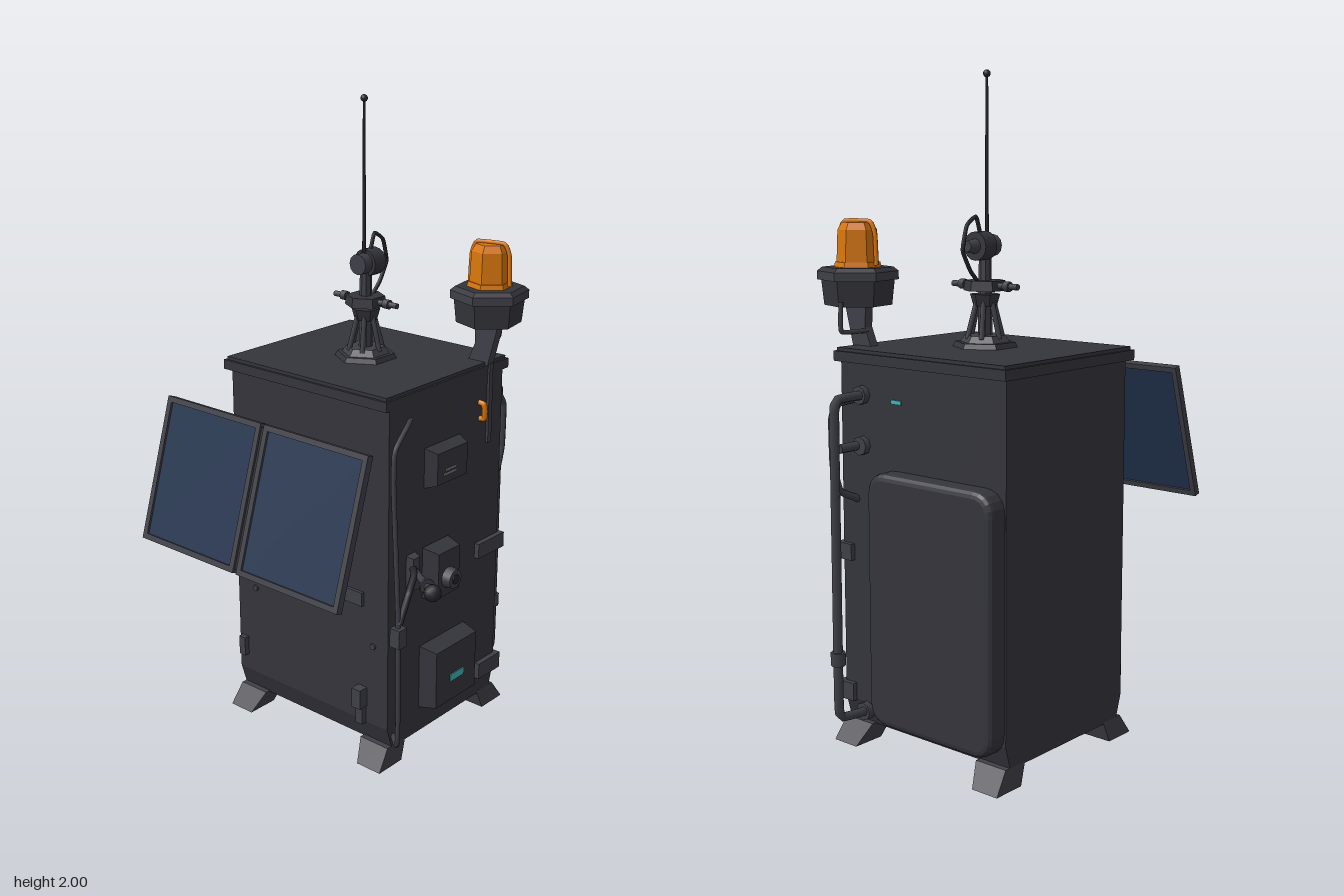
import * as THREE from 'three';

const mat = (name, color, extra = {}) => {
  const m = new THREE.MeshStandardMaterial({ color, ...extra });
  m.name = name;
  return m;
};

export function createModel() {
  const root = new THREE.Group();
  root.name = 'controlCabinet';
  const body = mat('charcoal', 0x34343c);
  const metal = mat('grey metal', 0x3f3f48);
  const dark = mat('dark rubber', 0x26262b);
  const glass = mat('screen blue', 0x22344f);
  const orange = mat('beacon orange', 0xd8760c);
  const teal = mat('teal label', 0x3fb4b6);
  const pale = mat('pale mark', 0x9a9aa2);
  const V = (x, y, z) => new THREE.Vector3(x, y, z);

  const add = (name, geo, material, x = 0, y = 0, z = 0, parent = root) => {
    const m = new THREE.Mesh(geo, material);
    m.name = name;
    m.position.set(x, y, z);
    parent.add(m);
    return m;
  };
  // Box from min/max extents
  const box = (name, m, x0, x1, y0, y1, z0, z1, parent) =>
    add(name, new THREE.BoxGeometry(x1 - x0, y1 - y0, z1 - z0), m, (x0 + x1) / 2, (y0 + y1) / 2, (z0 + z1) / 2, parent);
  // Faceted cylinder
  const hex = (r0, r1, h, sides = 6) => new THREE.CylinderGeometry(r1, r0, h, sides).toNonIndexed();
  const facet = (g) => { g.computeVertexNormals(); return g; };
  const prism = (name, m, r0, r1, y0, y1, x, z, sides) =>
    add(name, facet(hex(r0, r1, y1 - y0, sides)), m, x, (y0 + y1) / 2, z);
  // Straight rod between two points
  const rod = (name, m, a, b, r0, r1 = r0, sides = 8) => {
    const o = add(name, new THREE.CylinderGeometry(r1, r0, a.distanceTo(b), sides), m);
    o.position.copy(a).lerp(b, 0.5);
    o.quaternion.setFromUnitVectors(V(0, 1, 0), b.clone().sub(a).normalize());
    return o;
  };
  // Bent pipe through points
  const pipe = (name, m, pts, r, n = 40) =>
    add(name, new THREE.TubeGeometry(new THREE.CatmullRomCurve3(pts.map((p) => V(...p)), false, 'catmullrom', 0.2), n, r, 8), m);
  // Box whose outer face is shrunk, standing on the +x wall
  const sidePod = (name, m, y0, y1, z0, z1, x1, inset) => {
    const g = new THREE.BoxGeometry(x1 - 0.24, y1 - y0, z1 - z0).toNonIndexed();
    const p = g.attributes.position;
    for (let i = 0; i < p.count; i++) {
      if (p.getX(i) > 0) {
        p.setY(i, p.getY(i) - Math.sign(p.getY(i)) * inset);
        p.setZ(i, p.getZ(i) - Math.sign(p.getZ(i)) * inset);
      }
    }
    return add(name, facet(g), m, (0.24 + x1) / 2, (y0 + y1) / 2, (z0 + z1) / 2);
  };

  // Cabinet: side profile drawn as (z, y), swept along x
  const prof = new THREE.Shape([[0.14, 0.06], [0.162, 0.13], [0.162, 1.17], [-0.385, 1.17], [-0.385, 0.13], [-0.365, 0.06]]
    .map(([z, y]) => new THREE.Vector2(-z, y)));
  const shell = new THREE.ExtrudeGeometry(prof, { depth: 0.635, bevelEnabled: false });
  shell.rotateY(Math.PI / 2);
  add('cabinetBody', shell, body, -0.39, 0, 0);
  box('roof', body, -0.41, 0.247, 1.165, 1.195, -0.413, 0.178);
  box('roofTop', body, -0.402, 0.24, 1.195, 1.205, -0.405, 0.17);

  // Splayed feet
  for (const [x, sx] of [[-0.39, 1], [0.245, -1]]) {
    for (const [z, sz] of [[0.16, 1], [-0.385, -1]]) {
      const g = new THREE.BoxGeometry(0.11, 0.065, 0.085).toNonIndexed();
      const p = g.attributes.position;
      for (let i = 0; i < p.count; i++) {
        if (p.getY(i) < 0) {
          p.setZ(i, p.getZ(i) * 1.25 + sz * 0.035);
          if (p.getX(i) * sx > 0) p.setX(i, p.getX(i) - sx * 0.025);
          else p.setX(i, p.getX(i) - sx * 0.006);
        }
      }
      add('foot', facet(g), metal, x + sx * 0.055, 0.0325, z - sz * 0.0425);
    }
  }

  // Back panel with rounded corners
  const rr = new THREE.Shape();
  const [px0, px1, py0, py1, pr] = [-0.365, 0.07, 0.12, 0.84, 0.05];
  rr.moveTo(px0 + pr, py0).lineTo(px1 - pr, py0).quadraticCurveTo(px1, py0, px1, py0 + pr)
    .lineTo(px1, py1 - pr).quadraticCurveTo(px1, py1, px1 - pr, py1)
    .lineTo(px0 + pr, py1).quadraticCurveTo(px0, py1, px0, py1 - pr)
    .lineTo(px0, py0 + pr).quadraticCurveTo(px0, py0, px0 + pr, py0);
  add('backPanel', new THREE.ExtrudeGeometry(rr, { depth: 0.04, bevelThickness: 0.02, bevelSize: 0.02, bevelSegments: 3, curveSegments: 5 }),
    body, 0, 0, -0.425);
  box('backLabel', teal, 0, 0.04, 1.055, 1.067, -0.389, -0.384);

  // Front fittings
  box('frontRail', metal, -0.373, 0.15, 0.525, 0.57, 0.16, 0.172);
  box('latchLeft', metal, -0.378, -0.352, 0.185, 0.25, 0.16, 0.18);
  box('latchRight', metal, 0.128, 0.162, 0.185, 0.25, 0.16, 0.195);
  box('latchTail', metal, 0.132, 0.158, 0.125, 0.19, 0.16, 0.18);
  for (const [x, y] of [[-0.31, 0.44], [0.188, 0.4]]) {
    rod('screw', metal, V(x, y, 0.155), V(x, y, 0.168), 0.01);
  }
  const dome = add('frontDome', new THREE.SphereGeometry(0.145, 20, 14), body, -0.063, 0.8, 0.16);
  dome.scale.z = 0.52;

  // Monitor support
  rod('monitorArm', metal, V(-0.063, 0.785, 0.2), V(-0.063, 0.785, 0.39), 0.016);
  box('armPlate', metal, -0.1, -0.026, 0.74, 0.83, 0.383, 0.4);
  rod('armLink', metal, V(-0.04, 0.79, 0.39), V(-0.03, 0.82, 0.475), 0.016);
  for (const s of [-1, 1]) {
    const cx = -0.06;
    pipe('sideArm', metal, [[cx + s * 0.16, 0.95, 0.15], [cx + s * 0.16, 0.96, 0.25], [cx + s * 0.145, 0.93, 0.33],
      [cx + s * 0.1, 0.86, 0.375], [cx + s * 0.03, 0.8, 0.39]], 0.011);
    box('sideArmMount', metal, cx + s * 0.16 - 0.025, cx + s * 0.16 + 0.025, 0.92, 0.98, 0.16, 0.18);
  }

  // Two tilted monitors
  const screens = new THREE.Group();
  screens.name = 'monitors';
  screens.position.set(-0.03, 0.913, 0.45);
  screens.rotation.x = -0.3;
  root.add(screens);
  const rect = (C, w, h) => new C([[-w, -h], [w, -h], [w, h], [-w, h]].map((p) => new THREE.Vector2(...p)));
  const [mw, mh] = [0.195, 0.221];
  const frame = rect(THREE.Shape, mw, mh);
  frame.holes.push(rect(THREE.Path, mw - 0.017, mh - 0.017));
  const frameGeo = new THREE.ExtrudeGeometry(frame, { depth: 0.022, bevelEnabled: false });
  for (const s of [-1, 1]) {
    add('monitorFrame', frameGeo, metal, s * 0.2015, 0, -0.011, screens);
    add('monitorScreen', new THREE.BoxGeometry(0.36, 0.41, 0.008), glass, s * 0.2015, 0, 0, screens);
  }
  box('monitorHinge', dark, -0.012, 0.012, -0.21, 0.21, -0.014, 0.004, screens);

  // Roof antenna mount
  const [ax, az] = [-0.078, -0.11];
  prism('antennaBase', body, 0.1, 0.09, 1.2, 1.22, ax, az);
  prism('antennaBaseStep', metal, 0.075, 0.06, 1.22, 1.24, ax, az);
  for (let i = 0; i < 6; i++) {
    const a = (i * Math.PI) / 3, [c, s] = [Math.cos(a), Math.sin(a)];
    rod('antennaStrut', metal, V(ax + c * 0.055, 1.23, az + s * 0.055), V(ax + c * 0.027, 1.335, az + s * 0.027), 0.008, 0.008, 6);
  }
  prism('antennaCollar', body, 0.035, 0.045, 1.325, 1.36, ax, az);
  prism('antennaHead', body, 0.065, 0.06, 1.37, 1.4, ax, az);
  prism('antennaNeck', metal, 0.022, 0.018, 1.22, 1.48, ax, az, 8);
  rod('crossBar', metal, V(ax - 0.125, 1.385, az), V(ax + 0.125, 1.385, az), 0.009);
  for (const s of [-1, 1]) rod('crossBarTip', metal, V(ax + s * 0.075, 1.385, az), V(ax + s * 0.095, 1.385, az), 0.015);
  rod('sensorDrum', body, V(ax, 1.5, -0.105), V(ax, 1.5, -0.155), 0.042, 0.042, 16);
  rod('sensorFront', metal, V(ax, 1.5, -0.072), V(ax, 1.5, -0.105), 0.032, 0.032, 12);
  rod('sensorRear', metal, V(ax, 1.5, -0.155), V(ax, 1.5, -0.19), 0.022, 0.016, 10);
  pipe('sensorCable', dark, [[ax, 1.53, -0.13], [ax, 1.585, -0.15], [ax, 1.56, -0.19], [ax, 1.49, -0.208], [ax, 1.43, -0.175], [ax, 1.395, -0.14]], 0.006);
  rod('antennaRod', dark, V(ax, 1.48, -0.102), V(ax, 1.985, -0.102), 0.006, 0.004, 6);
  add('antennaTip', new THREE.SphereGeometry(0.011, 10, 8), dark, ax, 1.989, -0.102);

  // Warning beacon
  const [bx, bz] = [0.228, -0.328];
  for (const [n, m, r0, r1, y0, y1] of [
    ['beaconBase', body, 0.1, 0.108, 1.325, 1.4], ['beaconRim', metal, 0.12, 0.12, 1.4, 1.425],
    ['beaconRimTop', body, 0.12, 0.105, 1.425, 1.437], ['beaconSeat', orange, 0.07, 0.066, 1.437, 1.452],
    ['beaconLamp', orange, 0.062, 0.058, 1.45, 1.545], ['beaconCap', orange, 0.058, 0.045, 1.545, 1.567]]) {
    prism(n, m, r0, r1, y0, y1, bx, bz).rotation.y = 0.2;
  }
  const guard = pipe('beaconGuard', orange, [[-0.066, 0, 0], [-0.062, 0.09, 0], [-0.045, 0.126, 0], [0.045, 0.126, 0], [0.062, 0.09, 0], [0.066, 0, 0]], 0.007);
  guard.position.set(bx, 1.443, bz);
  guard.rotation.y = 0.2;
  const post = new THREE.Shape([[0.17, 1.19], [0.247, 1.19], [0.285, 1.335], [0.195, 1.335], [0.2, 1.26]].map((p) => new THREE.Vector2(...p)));
  add('beaconPost', new THREE.ExtrudeGeometry(post, { depth: 0.03, bevelEnabled: false }), metal, 0, 0, -0.33);
  box('beaconPostStrip', metal, 0.235, 0.253, 0.945, 1.2, -0.325, -0.307);
  pipe('beaconConduit', metal, [[0.2, 1.34, -0.425], [0.2, 1.255, -0.425], [0.2, 1.25, -0.34], [0.2, 1.25, -0.32]], 0.007);

  // Pipes behind
  pipe('mainPipe', metal, [[0.15, 1.07, -0.37], [0.15, 1.07, -0.47], [0.15, 1.045, -0.505], [0.15, 0.6, -0.507], [0.15, 0.15, -0.507], [0.15, 0.115, -0.49], [0.15, 0.105, -0.37]], 0.014, 60);
  pipe('branchPipe', metal, [[0.185, 1.055, -0.37], [0.185, 1.05, -0.455], [0.185, 1.01, -0.482], [0.185, 0.87, -0.48], [0.185, 0.79, -0.455], [0.185, 0.75, -0.37]], 0.011);
  rod('pipeStub', metal, V(0.165, 0.92, -0.37), V(0.165, 0.92, -0.475), 0.014);
  for (const y of [1.07, 0.92, 0.105]) rod('pipeFlange', metal, V(0.155, y, -0.38), V(0.155, y, -0.405), 0.028);
  rod('pipeJoint', metal, V(0.15, 0.28, -0.507), V(0.15, 0.32, -0.507), 0.022);

  // Right-hand wall fittings
  sidePod('ventHood', body, 0.88, 1.01, -0.175, 0, 0.285, 0.015);
  for (let i = 0; i < 2; i++) box('ventMark', pale, 0.284, 0.288, 0.92 + i * 0.013, 0.925 + i * 0.013, -0.105, -0.045 - i * 0.01);
  sidePod('dialBox', body, 0.52, 0.69, -0.125, 0.002, 0.3, 0.012);
  rod('dial', metal, V(0.295, 0.59, -0.058), V(0.328, 0.59, -0.058), 0.034, 0.03, 12);
  rod('dialCentre', dark, V(0.325, 0.59, -0.058), V(0.331, 0.59, -0.058), 0.016, 0.016, 10);
  sidePod('lowerBox', body, 0.145, 0.36, -0.215, 0.01, 0.305, 0.012);
  box('lowerBoxLabel', teal, 0.304, 0.308, 0.224, 0.248, -0.14, -0.072);
  box('wallLatch', metal, 0.2, 0.262, 0.565, 0.615, -0.4, -0.265);
  box('wallLatch', metal, 0.2, 0.262, 0.125, 0.18, -0.4, -0.285);
  pipe('orangeHandle', orange, [[0.24, 1.085, -0.27], [0.262, 1.082, -0.27], [0.265, 1.06, -0.272], [0.262, 1.035, -0.274], [0.24, 1.032, -0.274]], 0.009);

  // Control lever
  sidePod('leverMount', metal, 0.57, 0.69, 0.035, 0.08, 0.268, 0.008);
  rod('lever', metal, V(0.25, 0.64, 0.052), V(0.395, 0.64, 0.143), 0.011);
  rod('leverCollar', metal, V(0.353, 0.64, 0.117), V(0.36, 0.64, 0.121), 0.024);
  add('leverKnob', new THREE.IcosahedronGeometry(0.027, 1), dark, 0.398, 0.64, 0.145);
  pipe('leverCable', dark, [[0.25, 0.65, 0.055], [0.285, 0.645, 0.09], [0.312, 0.61, 0.15], [0.315, 0.53, 0.195]], 0.011);

  // Corner cable
  pipe('cornerCable', metal, [[0.24, 1.115, 0.06], [0.262, 1.11, 0.1], [0.285, 1.06, 0.185], [0.29, 0.95, 0.195], [0.313, 0.53, 0.197],
    [0.315, 0.16, 0.197], [0.3, 0.11, 0.185], [0.24, 0.1, 0.13]], 0.008, 60);
  box('cableConnector', metal, 0.297, 0.333, 0.46, 0.52, 0.18, 0.216);
  return root;
}
